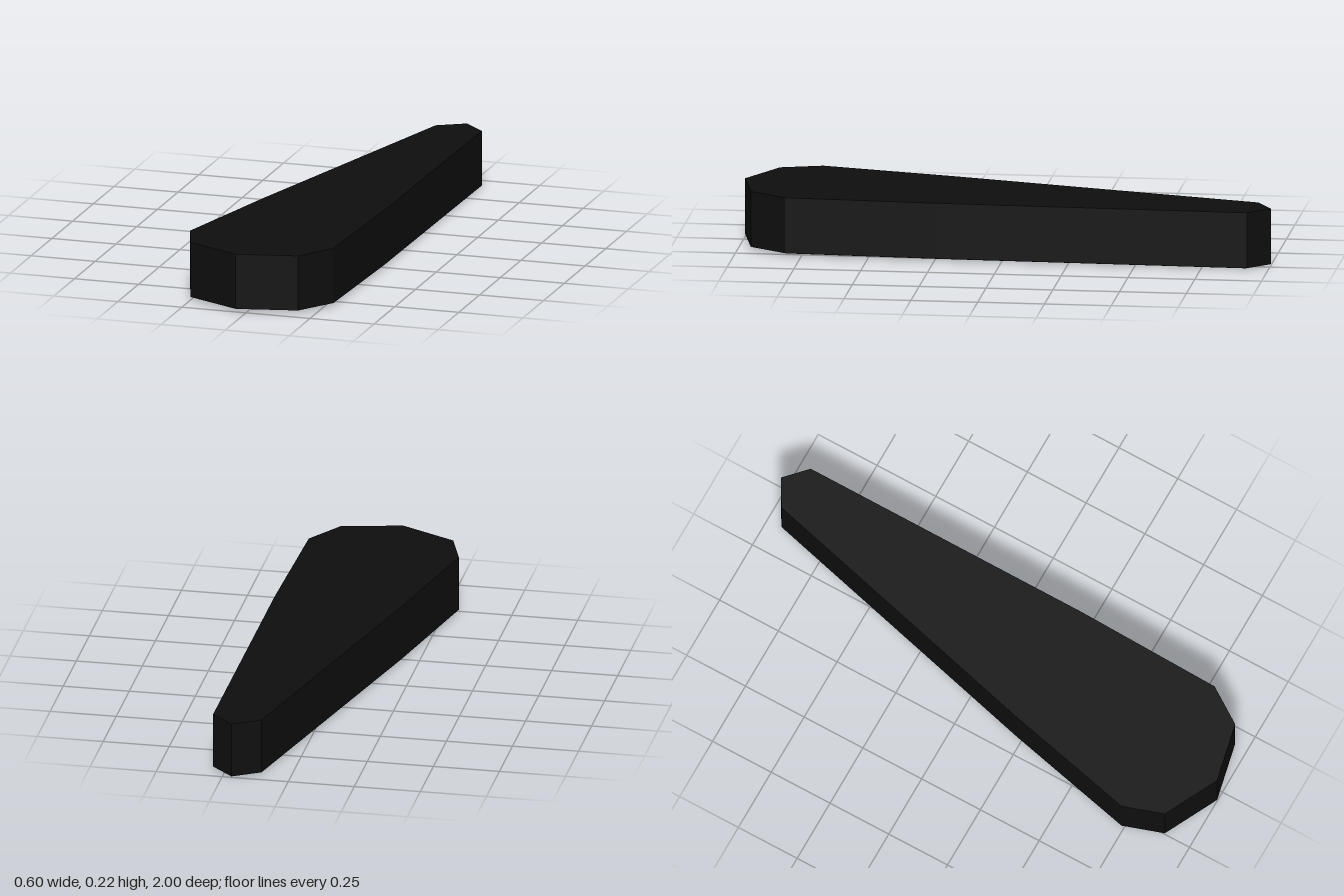
import * as THREE from 'three';

// Tapered outline as [x, z], running clockwise seen from above
const OUTLINE = [
  [0.215, -1], [0.3, -0.92], [0.296, 0.24], [0.28, 0.81], [0.187, 0.95],
  [-0.04, 1], [-0.25, 0.895], [-0.302, 0.74], [-0.185, 0.23], [0.113, -0.94],
].map(([x, z]) => new THREE.Vector2(x, z));

// Outline moved inwards by d, at height y, tilted slightly along z
function ring(d, y, tilt = 0.004) {
  const n = OUTLINE.length;
  const inward = (a, b) => {
    const e = b.clone().sub(a).normalize();
    return new THREE.Vector2(-e.y, e.x);
  };
  return OUTLINE.map((p, i) => {
    const n1 = inward(OUTLINE[(i + n - 1) % n], p);
    const n2 = inward(p, OUTLINE[(i + 1) % n]);
    const q = n1.clone().add(n2).multiplyScalar(d / (1 + n1.dot(n2))).add(p);
    return new THREE.Vector3(q.x, y + tilt * q.y, q.y);
  });
}

// Faceted surface through successive rings, with optional end caps
function loft(rings, capStart, capEnd) {
  const pts = [];
  const n = OUTLINE.length;
  for (let r = 0; r + 1 < rings.length; r++) {
    const a = rings[r], b = rings[r + 1];
    for (let i = 0; i < n; i++) {
      const j = (i + 1) % n;
      pts.push(a[i], a[j], b[i], a[j], b[j], b[i]);
    }
  }
  const last = rings[rings.length - 1];
  for (let i = 1; i + 1 < n; i++) {
    if (capStart) pts.push(rings[0][0], rings[0][i + 1], rings[0][i]);
    if (capEnd) pts.push(last[0], last[i], last[i + 1]);
  }
  const geo = new THREE.BufferGeometry().setFromPoints(pts);
  geo.computeVertexNormals();
  return geo;
}

export function createModel() {
  const material = (name, color) => {
    const m = new THREE.MeshStandardMaterial({ color });
    m.name = name;
    return m;
  };
  const black = material('black shell', 0x0e0e0e);
  const red = material('red lining', 0x8c222e);
  const beige = material('beige label', 0xa89a78);

  const group = new THREE.Group();
  group.name = 'caseLid';
  const add = (name, geo, mat) => {
    const mesh = new THREE.Mesh(geo, mat);
    mesh.name = name;
    group.add(mesh);
    return mesh;
  };

  // Outer shell: flat top, straight walls and a rim dipping inwards
  const rim = ring(0.016, 0.004);
  add('shell', loft([ring(0, 0.2185), ring(0, 0.008), rim], true, false), black);

  // Lining: inner walls and ceiling, facing inwards
  add('lining', loft([rim, ring(0.02, 0.2)], false, true), red);

  // Small label on the ceiling of the lining
  const label = add('label', new THREE.BoxGeometry(0.08, 0.004, 0.1), beige);
  label.position.set(0.03, 0.201, 0.55);

  return group;
}
